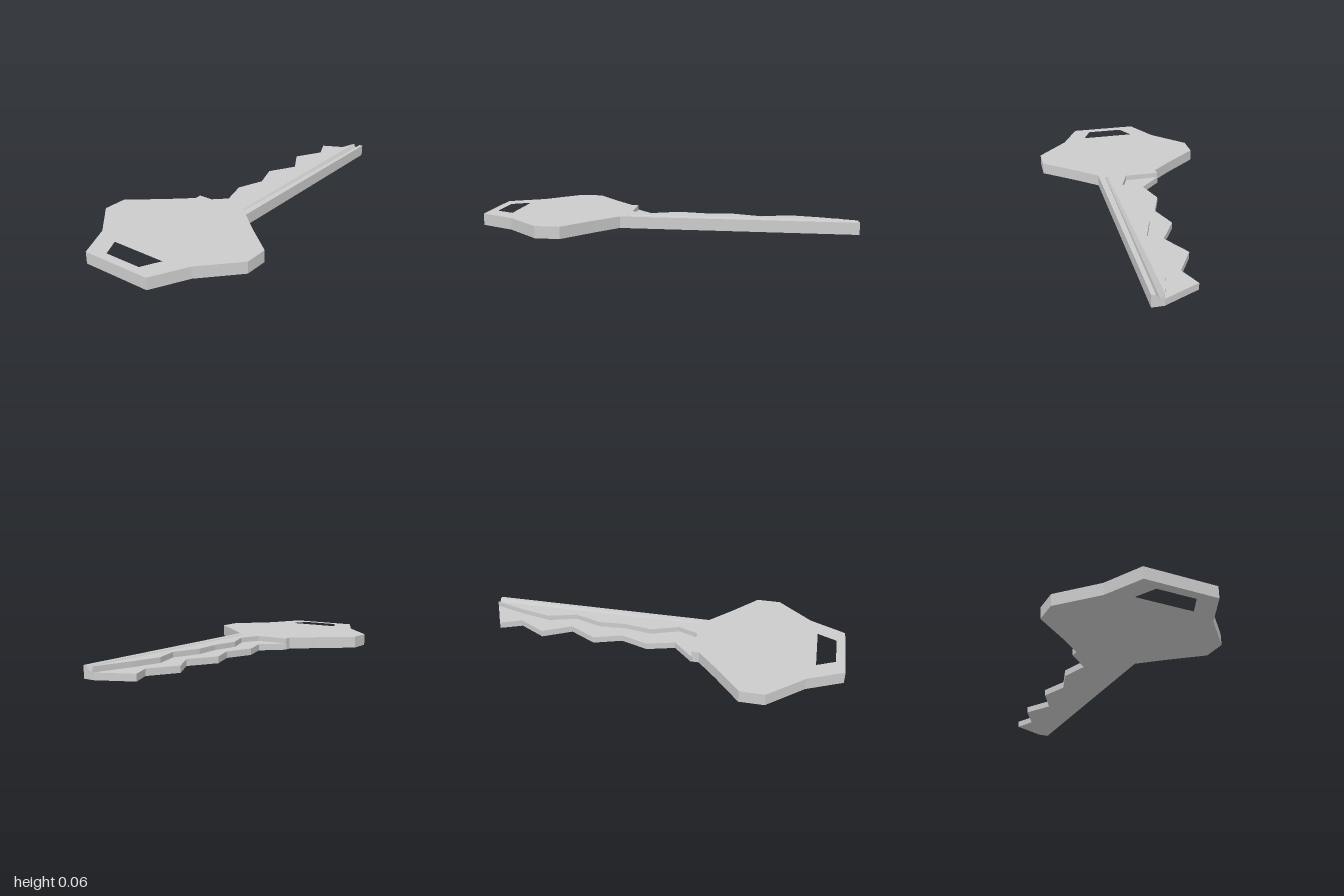
import * as THREE from 'three';

const H = 0.063;       // full thickness
const TEETH_H = 0.035; // thickness of the cut edge
const material = new THREE.MeshStandardMaterial({ color: 0xcccccc, flatShading: true });

// Inner edge of the cut strip and its toothed outer edge, as [x, z] from tip to head
const ridge = [[0.11, -1], [0.05, -0.8], [0.018, -0.65], [0.065, -0.5], [0.015, -0.35],
  [0.025, -0.2], [0, -0.05], [0.058, 0.1], [0.015, 0.21]];
const teeth = [[-0.07, -0.915], [-0.02, -0.8], [-0.105, -0.65], [-0.02, -0.5], [-0.105, -0.35],
  [-0.052, -0.2], [-0.105, -0.05], [-0.06, 0.1], [-0.175, 0.21]];

// Flat plate standing on the ground from an [x, z] outline
function plate(name, outline, height, hole) {
  const points = (list) => list.map(([x, z]) => new THREE.Vector2(x, -z));
  const shape = new THREE.Shape(points(outline));
  if (hole) shape.holes.push(new THREE.Path(points(hole)));
  const geometry = new THREE.ExtrudeGeometry(shape, { depth: height, bevelEnabled: false });
  geometry.rotateX(-Math.PI / 2);
  const mesh = new THREE.Mesh(geometry, material);
  mesh.name = name;
  return mesh;
}

// Full-height shaft lofted along z, with a V groove that fades toward the head
function shaft() {
  const rings = ridge.map(([x, z]) => {
    const t = (z + 1) / 1.21;
    const mix = (a, b) => THREE.MathUtils.lerp(a, b, t);
    return [[x, 0], [x, H], [mix(0.11, 0.118), H], [0.128, H - mix(0.03, 0.012)],
      [mix(0.15, 0.135), H], [0.17, H], [0.17, 0]].map(([px, py]) => [px, py, z]);
  });
  const positions = [];
  const tri = (...corners) => corners.forEach((c) => positions.push(...c));
  const n = rings[0].length;
  for (let i = 0; i < rings.length - 1; i++) {
    for (let j = 0; j < n; j++) {
      const k = (j + 1) % n;
      const a = rings[i][j], b = rings[i][k], c = rings[i + 1][k], d = rings[i + 1][j];
      tri(a, d, c);
      tri(a, c, b);
    }
  }
  // Tip cap, fanned from the groove bottom
  for (let s = 1; s < n - 1; s++) tri(rings[0][3], rings[0][(3 + s) % n], rings[0][(4 + s) % n]);
  const geometry = new THREE.BufferGeometry();
  geometry.setAttribute('position', new THREE.Float32BufferAttribute(positions, 3));
  geometry.computeVertexNormals();
  const mesh = new THREE.Mesh(geometry, material);
  mesh.name = 'shaft';
  return mesh;
}

export function createModel() {
  const group = new THREE.Group();
  group.name = 'key';

  // Bow with its slot, mirrored from one side
  const side = [[0.17, 0.21], [0.17, 0.25], [0.29, 0.355], [0.463, 0.495], [0.463, 0.625],
    [0.288, 0.81], [0.192, 1]];
  const mirrored = side.map(([x, z]) => [-x, z]).reverse();
  const slot = [[-0.155, 0.853], [0.152, 0.853], [0.103, 0.953], [-0.103, 0.953]];
  group.add(plate('bow', [...side, ...mirrored], H, slot));

  // Blade: grooved shaft and the thinner toothed strip beside it
  group.add(shaft());
  group.add(plate('teeth', [...ridge, ...teeth.slice().reverse()], TEETH_H));
  return group;
}
